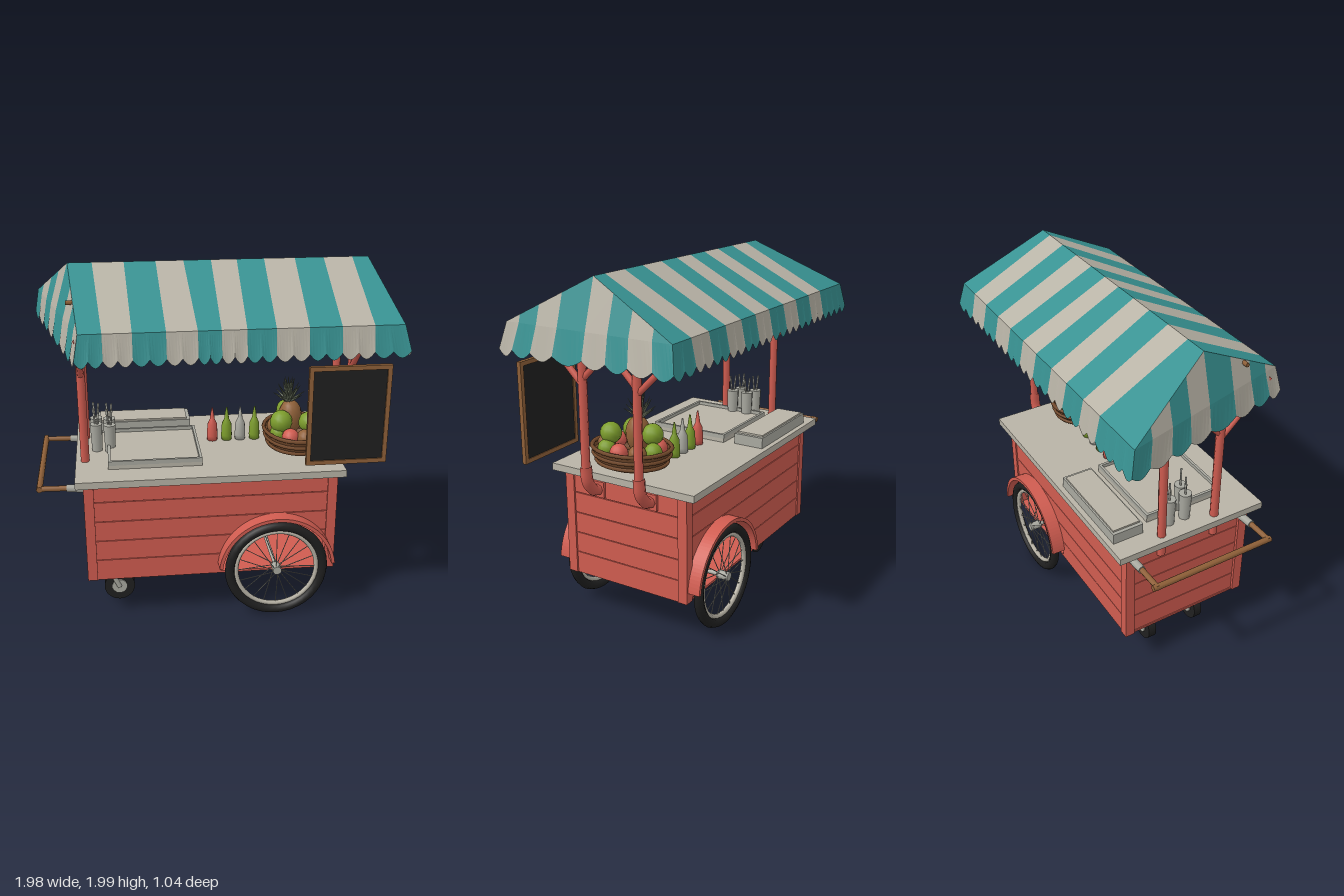
import * as THREE from 'three';

const mat = (name, color, extra = {}) =>
  Object.assign(new THREE.MeshStandardMaterial({ color, ...extra }), { name });
const V = (x, y, z) => new THREE.Vector3(x, y, z);

export function createModel() {
  const red = mat('red paint', 0xd05c50);
  const teal = mat('teal cloth', 0x389292, { side: THREE.DoubleSide });
  const cream = mat('cream cloth', 0xb8b3a6, { side: THREE.DoubleSide });
  const steel = mat('pale steel', 0xa9a9a0);
  const black = mat('black rubber', 0x1f1f1f);
  const wood = mat('wood', 0x8f6038);
  const wicker = mat('wicker', 0x72492b, { side: THREE.DoubleSide });
  const green = mat('green fruit', 0x7c9c2c);
  const leaf = mat('grey green leaf', 0x646c58);

  const root = new THREE.Group();
  root.name = 'marketCart';
  const group = (name, parent = root) => {
    const g = new THREE.Group();
    g.name = name;
    parent.add(g);
    return g;
  };
  const add = (name, geo, material, p = [0, 0, 0], parent = root) => {
    const m = new THREE.Mesh(geo, material);
    m.name = name;
    m.position.set(...p);
    parent.add(m);
    return m;
  };
  // box from min and max corners
  const box = (name, material, a, b, parent = root) =>
    add(name, new THREE.BoxGeometry(b[0] - a[0], b[1] - a[1], b[2] - a[2]), material,
      a.map((v, i) => (v + b[i]) / 2), parent);
  // round bar between two points
  const rod = (name, material, a, b, r, parent = root, sides = 8, r2 = r) => {
    const p = V(...a), q = V(...b), d = q.clone().sub(p);
    const m = add(name, new THREE.CylinderGeometry(r2, r, d.length(), sides), material,
      p.clone().add(q).multiplyScalar(0.5).toArray(), parent);
    m.quaternion.setFromUnitVectors(V(0, 1, 0), d.normalize());
    return m;
  };

  // Body: planked sides with wheel arches, corner posts, floor and worktop
  const body = group('body');
  const wx = 0.33, wy = 0.297, arch = 0.315, xl = -0.69, xr = 0.62;
  for (let i = 0; i < 5; i++) {
    const y0 = 0.27 + i * 0.12 + 0.002, y1 = y0 + 0.116;
    const left = new THREE.Shape(), right = new THREE.Shape();
    left.moveTo(xl, y1).lineTo(xl, y0);
    right.moveTo(xr, y1);
    right.lineTo(xr, y0);
    const cut = [];
    for (let k = 0; k <= 8; k++) {
      const y = y0 + (y1 - y0) * k / 8, h = arch * arch - (y - wy) ** 2;
      cut.push([h > 0 ? Math.sqrt(h) : 0, y]);
    }
    cut.forEach(([h, y]) => {
      left.lineTo(wx - h, y);
      right.lineTo(Math.min(wx + h, xr - 0.001), y);
    });
    for (const s of [left, right]) {
      const geo = new THREE.ExtrudeGeometry(s, { depth: 0.01, bevelEnabled: false });
      add('frontPlank', geo, red, [0, 0, 0.372], body);
      add('backPlank', geo, red, [0, 0, -0.382], body);
    }
    box('leftPlank', red, [-0.725, y0, -0.35], [-0.71, y1, 0.35], body);
    box('rightPlank', red, [0.645, y0, -0.35], [0.66, y1, 0.35], body);
  }
  box('leftLining', red, [-0.712, 0.27, -0.36], [-0.705, 0.87, 0.36], body);
  box('rightLining', red, [0.638, 0.27, -0.36], [0.645, 0.87, 0.36], body);
  for (const x of [-0.74, 0.615]) for (const z of [-0.39, 0.335])
    box('cornerPost', red, [x, 0.265, z], [x + 0.055, 0.87, z + 0.055], body);
  box('floor', red, [-0.73, 0.262, -0.38], [0.66, 0.275, 0.38], body);
  box('worktop', cream, [-0.78, 0.868, -0.45], [0.7, 0.908, 0.455], body);

  // Large spoked wheels with fenders
  for (const s of [1, -1]) {
    const wheel = group('sideWheel');
    wheel.position.set(wx, wy, s * 0.42);
    add('tyre', new THREE.TorusGeometry(0.268, 0.028, 8, 40), black, [0, 0, 0], wheel);
    add('rim', new THREE.TorusGeometry(0.233, 0.014, 6, 40), cream, [0, 0, 0], wheel);
    rod('hub', steel, [0, 0, -0.035], [0, 0, 0.035], 0.025, wheel, 12);
    for (let i = 0; i < 20; i++) {
      const a = i * Math.PI / 10, b = a + (i % 2 ? 0.25 : -0.25), z = i % 2 ? 0.025 : -0.025;
      rod('spoke', steel, [0.022 * Math.cos(b), 0.022 * Math.sin(b), z],
        [0.23 * Math.cos(a), 0.23 * Math.sin(a), 0], 0.0025, wheel, 5);
    }
    const f = new THREE.Shape();
    f.absarc(0, 0, 0.333, 0.1, Math.PI - 0.1, false);
    f.absarc(0, 0, 0.313, Math.PI - 0.1, 0.1, true);
    add('fender', new THREE.ExtrudeGeometry(f, { depth: 0.085, bevelEnabled: false, curveSegments: 24 }),
      red, [0, 0, s > 0 ? -0.045 : -0.04], wheel);
  }
  rod('axle', steel, [wx, wy, -0.4], [wx, wy, 0.4], 0.012);

  // Swivel casters
  for (const z of [0.163, -0.155]) {
    const c = group('caster');
    rod('casterTyre', black, [-0.565, 0.095, z - 0.024], [-0.565, 0.095, z + 0.024], 0.09, c, 18);
    rod('casterHub', steel, [-0.565, 0.095, z - 0.032], [-0.565, 0.095, z + 0.032], 0.045, c, 14);
    for (const d of [-0.034, 0.034])
      rod('casterFork', steel, [-0.565, 0.095, z + d], [-0.62, 0.215, z + d], 0.014, c);
    box('forkCrown', steel, [-0.655, 0.2, z - 0.045], [-0.575, 0.225, z + 0.045], c);
    rod('swivel', steel, [-0.62, 0.22, z], [-0.625, 0.255, z], 0.03, c, 12);
    box('mountPlate', steel, [-0.68, 0.25, z - 0.05], [-0.57, 0.263, z + 0.05], c);
  }

  // Push handle
  const handle = group('handle');
  for (const z of [0.35, -0.35]) {
    rod('handleBracket', steel, [-0.73, 0.825, z], [-0.83, 0.832, z], 0.022, handle);
    rod('handleArm', wood, [-0.82, 0.832, z], [-0.985, 0.835, z], 0.016, handle);
  }
  rod('handleBar', wood, [-0.975, 0.835, -0.375], [-0.975, 0.835, 0.365], 0.017, handle);

  // Canopy posts with forked braces
  const frame = group('canopyFrame');
  for (const s of [1, -1]) {
    const z = s * 0.168;
    for (const x of [-0.727, 0.77]) {
      rod('post', red, [x, x < 0 ? 0.78 : 0.95, z], [x, 1.88, z], 0.024, frame);
      rod('outerBrace', red, [x, 1.41, z], [x, 1.69, s * 0.45], 0.018, frame);
      rod('innerBrace', red, [x, 1.44, z], [x, 1.61, 0], 0.018, frame);
    }
    const bend = new THREE.CatmullRomCurve3([V(0.65, 0.8, z), V(0.71, 0.815, z),
      V(0.758, 0.875, z), V(0.77, 0.97, z)]);
    add('postFoot', new THREE.TubeGeometry(bend, 12, 0.032, 8), red, [0, 0, 0], frame);
    box('bracketPlate', red, [0.655, 0.76, z - 0.04], [0.675, 0.85, z + 0.04], frame);
    rod('purlin', wood, [-0.78, 1.84, s * 0.26], [0.88, 1.84, s * 0.26], 0.012, frame, 6);
    rod('eaveRail', wood, [-0.72, 1.72, s * 0.475], [0.93, 1.72, s * 0.475], 0.012, frame, 6);
  }
  rod('ridgePole', wood, [-0.76, 1.97, 0], [0.86, 1.97, 0], 0.012, frame, 6);

  // Canopy cloth: striped slopes, hipped ends and a scalloped valance
  const cloth = [[], []];
  const quad = (c, a, b, d, e) => [a, b, d, a, d, e].forEach(p => cloth[c].push(...p));
  const eaveY = 1.735;
  const out = ([x, , z], lx) => [x + lx, 1.6, z * 1.058];
  const valance = (c, p, q, l0, l1, scallops = 2) => {
    const p2 = out(p, l0), q2 = out(q, l1), n = scallops * 6;
    const mix = (a, b, t) => a.map((v, i) => v + (b[i] - v) * t);
    const low = t => {
      const r = mix(p2, q2, t);
      r[1] -= 0.035 * Math.abs(Math.sin(Math.PI * scallops * t));
      return r;
    };
    for (let i = 0; i < n; i++)
      quad(c, mix(p, q, i / n), mix(p, q, (i + 1) / n), low((i + 1) / n), low(i / n));
  };
  const ridge = [-0.77, -0.64, -0.47, -0.3, -0.15, 0, 0.14, 0.29, 0.46, 0.62, 0.78, 0.87];
  const back = [-0.97, -0.66, -0.5, -0.33, -0.17, 0, 0.155, 0.31, 0.47, 0.63, 0.79, 0.95];
  const front = [-0.72, -0.6, -0.45, -0.28, -0.12, 0, 0.13, 0.28, 0.45, 0.62, 0.79, 0.95];
  for (const [edge, z] of [[front, 0.49], [back, -0.49]])
    for (let i = 0; i < 11; i++) {
      const p = [edge[i], eaveY, z], q = [edge[i + 1], eaveY, z];
      quad(i % 2, p, q, [ridge[i + 1], 1.99, 0], [ridge[i], 1.99, 0]);
      valance(i % 2, p, q, i === 0 ? -0.025 : 0, i === 10 ? 0.035 : 0, i === 0 && z < 0 ? 4 : 2);
    }
  const ends = [0.49, 0.41, 0.3, 0.17, 0, -0.13, -0.25, -0.38, -0.49];
  for (const s of [1, -1])
    for (let i = 0; i < 8; i++) {
      const eave = z => [s > 0 ? 0.95 : -0.845 + z * 0.255, eaveY, z];
      const hip = z => {
        const t = 1 - Math.abs(z) / 0.49, e = eave(Math.sign(z) * 0.49);
        return [e[0] + ((s > 0 ? 0.87 : -0.77) - e[0]) * t, eaveY + (1.99 - eaveY) * t, z];
      };
      const [a, b] = [ends[i], ends[i + 1]];
      // the middle of each end rises to the ridge tip
      const top = z => z === 0 ? [s > 0 ? 0.87 : -0.77, 1.99, 0] : hip(z);
      const c = (i + 1) % 2, l = s > 0 ? 0.035 : -0.025;
      quad(c, eave(a), eave(b), top(b), top(a));
      valance(c, eave(a), eave(b), l, l, 1);
    }
  cloth.forEach((pos, i) => {
    const g = new THREE.BufferGeometry();
    g.setAttribute('position', new THREE.Float32BufferAttribute(pos, 3));
    g.computeVertexNormals();
    add(i ? 'creamStripes' : 'tealStripes', g, i ? cream : teal);
  });

  // Menu board
  const board = group('menuBoard');
  box('boardPanel', black, [0.475, 0.98, 0.464], [0.89, 1.505, 0.476], board);
  for (const x of [0.462, 0.88]) box('boardStile', wood, [x, 0.962, 0.459], [x + 0.024, 1.518, 0.483], board);
  for (const y of [0.962, 1.494]) box('boardRail', wood, [0.462, y, 0.459], [0.904, y + 0.024, 0.483], board);

  // Worktop trays and cups
  const trays = group('trays');
  box('backTray', steel, [-0.66, 0.905, -0.42], [-0.1, 0.97, -0.24], trays);
  box('trayLid', cream, [-0.64, 0.97, -0.41], [-0.12, 0.98, -0.25], trays);
  box('griddle', cream, [-0.6, 0.905, -0.18], [-0.08, 0.935, 0.3], trays);
  for (const z of [-0.18, 0.285]) box('griddleRim', steel, [-0.6, 0.93, z], [-0.08, 0.955, z + 0.015], trays);
  for (const x of [-0.6, -0.095]) box('griddleRim', steel, [x, 0.93, -0.18], [x + 0.015, 0.955, 0.3], trays);
  for (const [x, z] of [[-0.66, -0.08], [-0.585, -0.06], [-0.66, 0.02], [-0.585, 0.04]]) {
    rod('cup', steel, [x, 0.905, z], [x, 1.07, z], 0.03, trays, 10, 0.036);
    for (const d of [-0.015, 0.015])
      rod('utensil', steel, [x, 1.0, z], [x + d, 1.16, z + d * 0.7], 0.006, trays, 5);
  }

  // Sauce bottles
  const profile = [[0, 0], [0.03, 0], [0.032, 0.03], [0.028, 0.1], [0.014, 0.13], [0.012, 0.15], [0.004, 0.2], [0, 0.2]];
  const bottle = new THREE.LatheGeometry(profile.map(p => new THREE.Vector2(...p)), 12);
  [[0.015, red], [0.1, green], [0.18, steel], [0.265, green]].forEach(([x, m]) =>
    add('sauceBottle', bottle, m, [x, 0.908, -0.06]));

  // Fruit basket
  const basket = group('fruitBasket');
  basket.position.set(0.49, 0.908, 0.07);
  const weave = [[0, 0.004], [0.14, 0.004], [0.165, 0.03], [0.18, 0.07], [0.19, 0.11]];
  add('basketBowl', new THREE.LatheGeometry(weave.map(p => new THREE.Vector2(...p)), 24), wicker, [0, 0, 0], basket)
    .scale.z = 1.22;
  [[0.168, 0.03], [0.181, 0.07], [0.188, 0.11]].forEach(([r, y]) => {
    const t = add('basketBand', new THREE.TorusGeometry(r, 0.011, 6, 28), wicker, [0, y, 0], basket);
    t.rotation.x = Math.PI / 2;
    t.scale.y = 1.22;
  });
  const ball = new THREE.SphereGeometry(1, 12, 9);
  const fruit = (name, m, x, y, z, r, sy = 1) =>
    add(name, ball, m, [x, y, z], basket).scale.set(r, r * sy, r);
  for (let i = 0; i < 9; i++) {
    const a = i * Math.PI * 2 / 9;
    fruit('fruit', [red, green, wood][i % 3], 0.12 * Math.cos(a), 0.105, 0.155 * Math.sin(a), 0.05);
  }
  fruit('melon', green, -0.1, 0.17, 0.05, 0.065);
  fruit('melon', green, -0.04, 0.18, -0.11, 0.06);
  fruit('melon', green, 0.05, 0.18, 0.1, 0.06);
  fruit('pineapple', wood, -0.035, 0.17, -0.02, 0.07, 1.5);
  for (let ring = 0; ring < 3; ring++)
    for (let i = 0; i < 8; i++) {
      const a = i * Math.PI / 4 + ring * 0.4, r = [0.09, 0.065, 0.03][ring], y = [0.32, 0.365, 0.405][ring];
      rod('crownLeaf', leaf, [-0.045, 0.26, -0.025],
        [-0.045 + r * Math.cos(a), y, -0.025 + r * Math.sin(a)], 0.013, basket, 4, 0.001);
    }
  return root;
}
